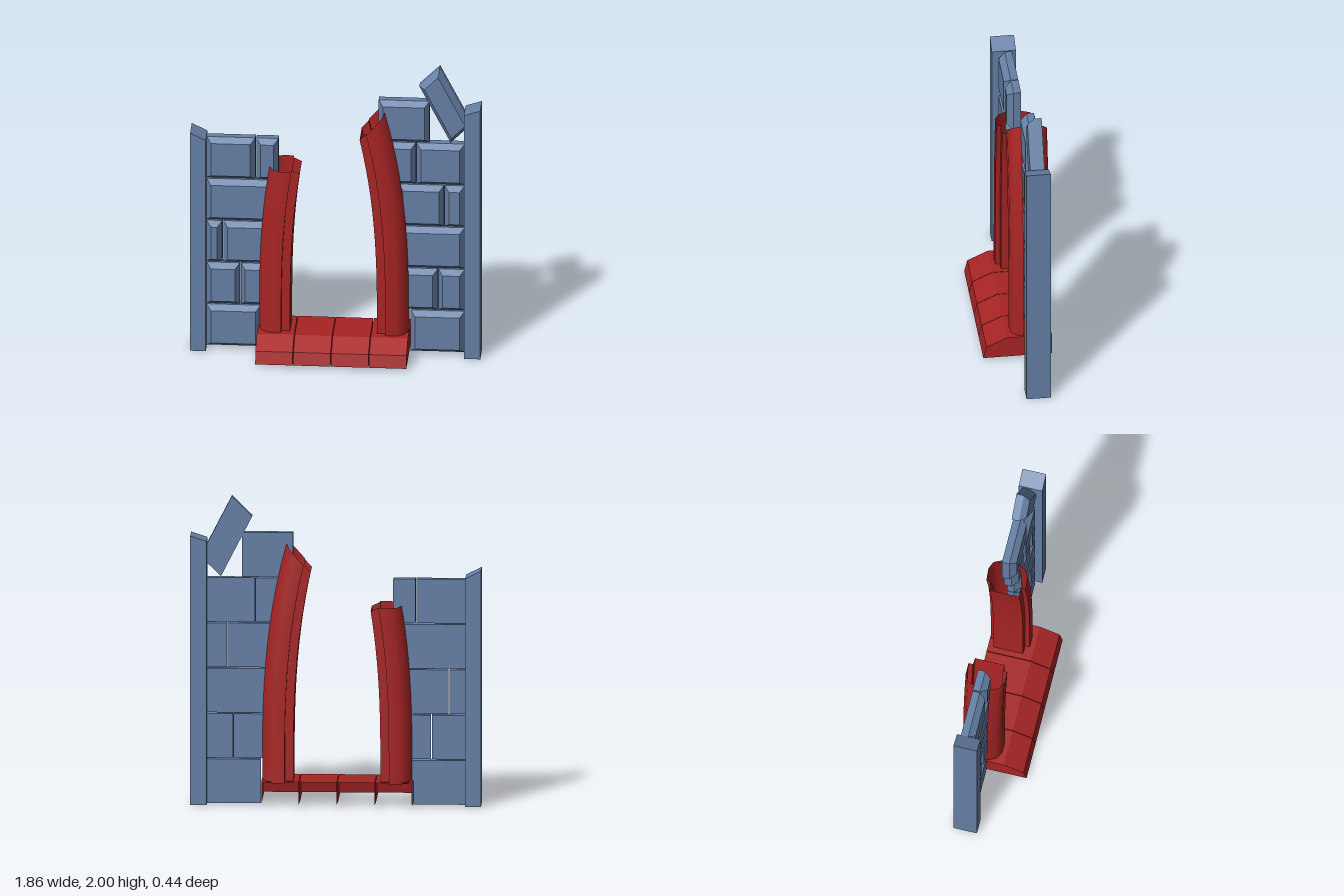
import * as THREE from 'three';
import { toCreasedNormals } from 'three/addons/utils/BufferGeometryUtils.js';

const stone = new THREE.MeshStandardMaterial({ color: 0x6680a6, flatShading: true });
const redShell = new THREE.MeshStandardMaterial({ color: 0xa82424, side: THREE.DoubleSide });

// Joins rings of [x, y, z] points with `sides` strips; caps both ends if asked.
function loft(rings, sides, capped) {
  const pos = [];
  const tri = (...pts) => pts.forEach((p) => pos.push(...p));
  for (let r = 0; r < rings.length - 1; r++) {
    const a = rings[r], b = rings[r + 1];
    for (let i = 0; i < sides; i++) {
      const j = (i + 1) % a.length;
      tri(a[i], a[j], b[j]);
      tri(a[i], b[j], b[i]);
    }
  }
  if (capped) {
    const first = rings[0], last = rings[rings.length - 1];
    for (let i = 1; i < first.length - 1; i++) {
      tri(first[0], first[i + 1], first[i]);
      tri(last[0], last[i], last[i + 1]);
    }
  }
  const geo = new THREE.BufferGeometry();
  geo.setAttribute('position', new THREE.Float32BufferAttribute(pos, 3));
  geo.computeVertexNormals();
  return geo;
}

function add(parent, name, geo, mat) {
  const mesh = new THREE.Mesh(geo, mat);
  mesh.name = name;
  parent.add(mesh);
}

// Brick with a flat back and a bevelled front: corner o, edges a and b
function brickGeometry(o, a, b) {
  const ring = (inset, z) => {
    const s = inset / Math.hypot(...a), t = inset / Math.hypot(...b);
    return [[s, t], [1 - s, t], [1 - s, 1 - t], [s, 1 - t]].map(([u, v]) =>
      [o[0] + a[0] * u + b[0] * v, o[1] + a[1] * u + b[1] * v, z]);
  };
  return loft([ring(0, -0.13), ring(0, -0.082), ring(0.03, -0.04)], 4, true);
}

// Post with a slanted top
function postGeometry(x0, x1, top0, top1) {
  const ring = (z) => [[x0, 0, z], [x1, 0, z], [x1, top1, z], [x0, top0, z]];
  return loft([ring(-0.155), ring(0)], 4, true);
}

// Jamb section: [distance outward from the opening, z], open towards the wall
const SECTION = [
  [0.2, -0.13], [0.175, -0.19], [0.13, -0.215], [0.055, -0.215], [0.055, -0.185], [0, -0.185],
  [0, 0.01], [0.055, 0.01], [0.055, 0.04], [0.13, 0.04], [0.175, 0.015], [0.2, -0.04],
];

// Curved hollow jamb, leaning inwards with height; topAt gives its broken top
function jambGeometry(side, topAt) {
  const section = side > 0 ? SECTION : [...SECTION].reverse();
  const rings = [];
  for (let k = 0; k <= 14; k++) {
    rings.push(section.map(([u, z]) => {
      const y = THREE.MathUtils.lerp(0.155, topAt(u), k / 14);
      const lean = 0.067 * Math.pow(Math.max(0, y - 0.3), 2.5);
      return [-0.0125 + side * (0.2775 + u - lean), y, z];
    }));
  }
  return toCreasedNormals(loft(rings, section.length - 1, false), 0.7);
}

export function createModel() {
  const model = new THREE.Group();
  model.name = 'brokenDoorway';

  // Side posts
  add(model, 'rightPost', postGeometry(-0.93, -0.83, 1.53, 1.48), stone);
  add(model, 'leftPost', postGeometry(0.82, 0.925, 1.71, 1.745), stone);

  // Brick walls: each row lists the x ranges of its bricks
  const walls = {
    rightWall: [
      [[-0.83, -0.485]],
      [[-0.83, -0.617], [-0.61, -0.4]],
      [[-0.83, -0.73], [-0.722, -0.4]],
      [[-0.83, -0.4]],
      [[-0.83, -0.518], [-0.512, -0.37]],
    ],
    leftWall: [
      [[0.475, 0.82]],
      [[0.4, 0.648], [0.652, 0.82]],
      [[0.4, 0.82]],
      [[0.4, 0.688], [0.692, 0.82]],
      [[0.33, 0.508], [0.512, 0.82]],
      [[0.27, 0.595]],
    ],
  };
  for (const [name, rows] of Object.entries(walls)) {
    const wall = new THREE.Group();
    wall.name = name;
    rows.forEach((row, r) => row.forEach(([x0, x1]) =>
      add(wall, 'brick', brickGeometry([x0, 0.01 + r * 0.294], [x1 - x0, 0], [0, 0.286]), stone)));
    model.add(wall);
  }
  add(model, 'looseBrick', brickGeometry([0.73, 1.48], [0.13, 0.13], [-0.2, 0.39]), stone);

  // Curved jambs
  add(model, 'rightJamb', jambGeometry(-1, (u) => 1.27 + Math.min(0.025, u * 0.45)), redShell);
  add(model, 'leftJamb', jambGeometry(1, (u) => 1.52 + u * 0.875), redShell);

  // Doorstep: four hollow segments, open underneath and behind
  const step = new THREE.Group();
  step.name = 'doorstep';
  const profile = [[0.22, 0.02], [0.2, 0.103], [0.07, 0.165], [-0.22, 0.165], [-0.22, 0.02]];
  const width = 0.2425;
  for (let i = 0; i < 4; i++) {
    const x0 = -0.5 + i * width;
    const ring = (x) => profile.map(([z, y]) => [x, y, z]);
    add(step, 'stepSegment', loft([ring(x0 + width - 0.002), ring(x0 + 0.002)], 3, true), redShell);
  }
  model.add(step);

  return model;
}
